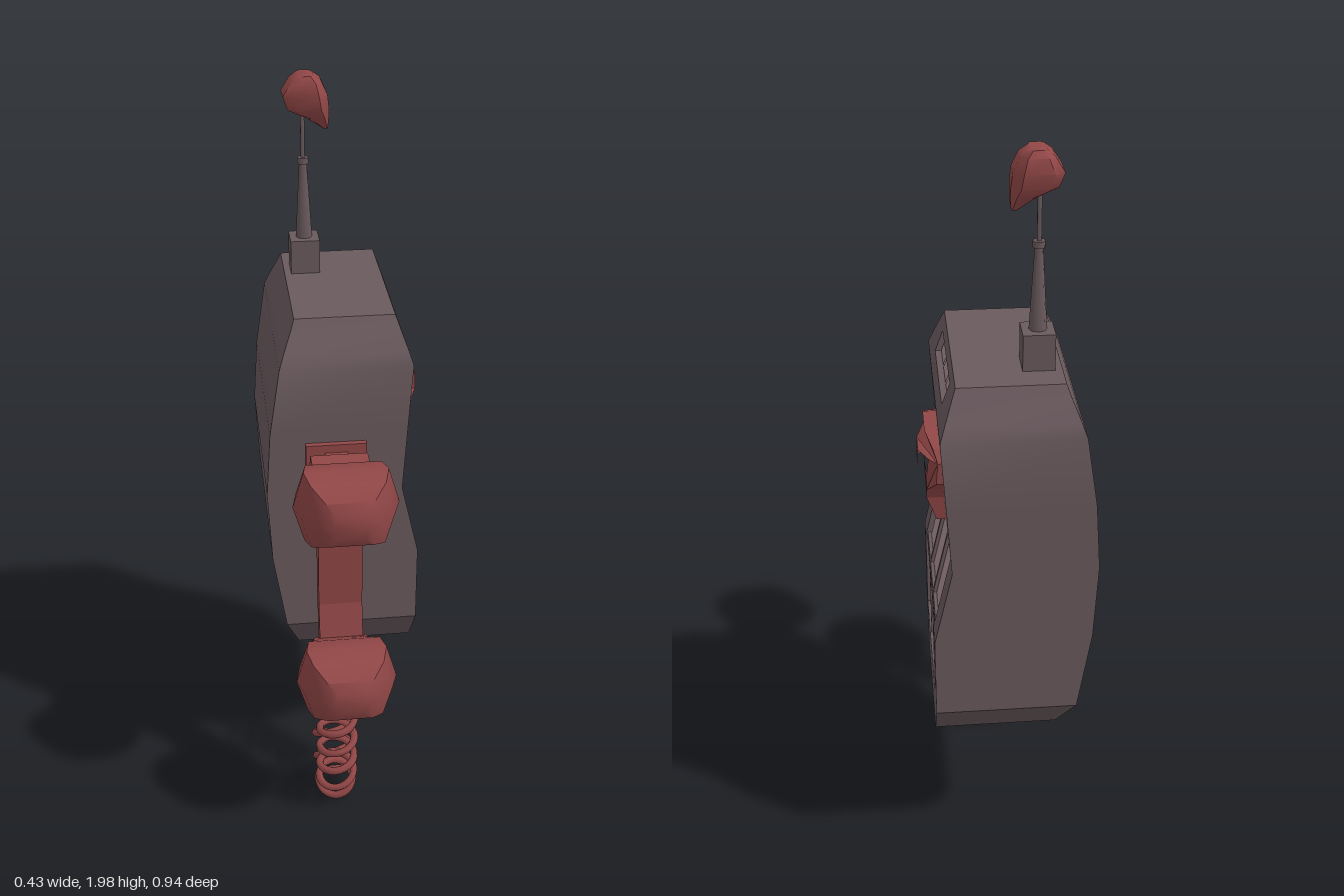
import * as THREE from 'three';
import { toCreasedNormals } from 'three/addons/utils/BufferGeometryUtils.js';

const paint = (name, color) => Object.assign(new THREE.MeshStandardMaterial({ color }), { name });

// Body sections from bottom to top: y, x min, x max, z min, z max
const ROWS = [
  [0.42, -0.135, 0.19, -0.355, 0.0],
  [0.56, -0.175, 0.19, -0.465, 0.105],
  [0.785, -0.21, 0.19, -0.465, 0.105],
  [0.99, -0.22, 0.143, -0.465, 0.105],
  [1.17, -0.208, 0.154, -0.465, 0.105],
  [1.355, -0.18, 0.166, -0.465, 0.105],
  [1.39, -0.167, 0.154, -0.448, 0.086],
  [1.445, -0.144, 0.134, -0.417, 0.054],
  [1.47, -0.135, 0.125, -0.405, 0.04],
];
// Recesses in the face, by the index of the band they fill: z high, z low
const KEYPAD = [0.035, -0.392], SCREEN = [-0.03, -0.328];
const HOLES = { 1: KEYPAD, 2: KEYPAD, 6: SCREEN };
const DEPTH = 0.03;

// x of the sculpted face at height y
function faceX(y) {
  const i = Math.min(Math.max(ROWS.findIndex((r) => r[0] >= y), 1), ROWS.length - 1);
  const a = ROWS[i - 1], b = ROWS[i];
  return a[2] + ((b[2] - a[2]) * (y - a[0])) / (b[0] - a[0]);
}

function fromTriangles(pos, crease) {
  const g = new THREE.BufferGeometry();
  g.setAttribute('position', new THREE.Float32BufferAttribute(pos, 3));
  g.computeVertexNormals();
  return toCreasedNormals(g, crease);
}

function bodyGeometry() {
  const pos = [];
  const quad = (a, b, c, d) => pos.push(...a, ...b, ...c, ...a, ...c, ...d);
  for (let i = 0; i < ROWS.length - 1; i++) {
    const [y, a, b, m, n] = ROWS[i], [Y, A, B, M, N] = ROWS[i + 1];
    quad([a, y, n], [b, y, n], [B, Y, N], [A, Y, N]);
    quad([b, y, m], [a, y, m], [A, Y, M], [B, Y, M]);
    quad([a, y, m], [a, y, n], [A, Y, N], [A, Y, M]);
    const face = (z, Z, w, W, d) => quad([b - d, y, z], [b - d, y, w], [B - d, Y, W], [B - d, Y, Z]);
    const hole = HOLES[i];
    if (!hole) { face(n, N, m, M, 0); continue; }
    const [h, l] = hole, d = DEPTH;
    face(n, N, h, h, 0);
    face(l, l, m, M, 0);
    face(h, h, l, l, d);
    // recess walls
    quad([b, y, h], [b - d, y, h], [B - d, Y, h], [B, Y, h]);
    quad([b - d, y, l], [b, y, l], [B, Y, l], [B - d, Y, l]);
    if (HOLES[i - 1] !== hole) quad([b - d, y, h], [b, y, h], [b, y, l], [b - d, y, l]);
    if (HOLES[i + 1] !== hole) quad([B - d, Y, l], [B, Y, l], [B, Y, h], [B - d, Y, h]);
  }
  const [y, a, b, m, n] = ROWS[0], [Y, A, B, M, N] = ROWS[ROWS.length - 1];
  quad([a, y, m], [b, y, m], [b, y, n], [a, y, n]);
  quad([A, Y, N], [B, Y, N], [B, Y, M], [A, Y, M]);
  return fromTriangles(pos, 0.5);
}

// Skin over rings of [x, y, z], counter-clockwise about the direction of travel
function loft(rings, crease) {
  const pos = [], n = rings[0].length, last = rings[rings.length - 1];
  for (let i = 0; i < rings.length - 1; i++)
    for (let j = 0; j < n; j++) {
      const k = (j + 1) % n, r = rings[i], s = rings[i + 1];
      pos.push(...r[j], ...r[k], ...s[k], ...r[j], ...s[k], ...s[j]);
    }
  for (let j = 1; j < n - 1; j++) {
    pos.push(...rings[0][0], ...rings[0][j + 1], ...rings[0][j]);
    pos.push(...last[0], ...last[j], ...last[j + 1]);
  }
  return fromTriangles(pos, crease);
}

// Side outline of [z, y] points, extruded across x
function sideExtrude(points, width, cx) {
  const shape = new THREE.Shape(points.map(([z, y]) => new THREE.Vector2(-z, y)));
  const g = new THREE.ExtrudeGeometry(shape, { depth: width, bevelEnabled: false });
  return g.rotateY(Math.PI / 2).translate(cx - width / 2, 0, 0);
}

export function createModel() {
  const root = new THREE.Group();
  root.name = 'telephone';
  const grey = paint('casing grey', 0x6a5a5e);
  const red = paint('dull red', 0x924747);
  const pink = paint('key pink', 0xa98d91);
  const add = (name, geo, mat, x = 0, y = 0, z = 0) => {
    const m = new THREE.Mesh(geo, mat);
    m.name = name;
    m.position.set(x, y, z);
    root.add(m);
    return m;
  };

  add('body', bodyGeometry(), grey);

  // Keys and bars that follow the slope of the face, sunk by a given amount
  const inlay = (name, mat, y0, y1, z0, z1, sink) => {
    const t = DEPTH - sink;
    const g = new THREE.BoxGeometry(t, y1 - y0, z1 - z0);
    g.translate(-sink - t / 2, (y0 + y1) / 2, (z0 + z1) / 2);
    const p = g.attributes.position;
    for (let i = 0; i < p.count; i++) p.setX(i, p.getX(i) + faceX(p.getY(i)));
    g.computeVertexNormals();
    add(name, g, mat);
  };
  for (let c = 0; c < 3; c++) {
    const z = -0.038 - c * 0.141;
    inlay('lowerKey', pink, 0.572, 0.765, z - 0.058, z + 0.058, 0.012);
    inlay('upperKey', pink, 0.8, 0.975, z - 0.058, z + 0.058, 0.012);
    const w = -0.08 - c * 0.099;
    inlay('screenCell', pink, 1.394, 1.441, w - 0.043, w + 0.043, 0.014);
    if (c < 2) {
      inlay('keypadBar', grey, 0.56, 0.785, z - 0.0775, z - 0.0635, 0.004);
      inlay('keypadBar', grey, 0.785, 0.99, z - 0.0775, z - 0.0635, 0.004);
    }
  }
  inlay('keypadCrossbar', grey, 0.774, 0.785, -0.392, 0.035, 0.004);
  inlay('keypadCrossbar', grey, 0.785, 0.796, -0.392, 0.035, 0.004);

  // Skull emblem: flat outline with eye holes, front swelled towards the middle
  const half = [[0.05, 1.27], [0.105, 1.245], [0.128, 1.215], [0.125, 1.155], [0.08, 1.115], [0.062, 1.08], [0.055, 1.01]];
  const eye = [[0.035, 1.205], [0.095, 1.212], [0.088, 1.152], [0.035, 1.157]];
  const sx = 0.182;
  const mirrored = (pts, s) => pts.map(([u, v]) => new THREE.Vector2(sx + s * u, v));
  const skull = new THREE.Shape([...mirrored(half, 1), ...mirrored(half, -1).reverse()]);
  for (const s of [1, -1]) skull.holes.push(new THREE.Path(mirrored(eye, s)));
  const sg = new THREE.ExtrudeGeometry(skull, { depth: 1, bevelEnabled: false }).rotateY(Math.PI / 2);
  const sp = sg.attributes.position;
  for (let i = 0; i < sp.count; i++) {
    const u = (sp.getZ(i) + sx) / 0.13, v = (sp.getY(i) - 1.17) / 0.18;
    sp.setX(i, sp.getX(i) < 0.5 ? 0.135 : 0.167 + 0.05 * (1 - u * u - v * v));
  }
  sg.computeVertexNormals();
  add('skullEmblem', sg, red);

  // Antenna
  const ax = -0.078, az = -0.292;
  add('antennaBase', new THREE.BoxGeometry(0.078, 0.1, 0.08), grey, ax, 1.512, az);
  add('antennaTaper', new THREE.CylinderGeometry(0.01, 0.022, 0.21, 8), grey, ax, 1.665, az);
  add('antennaCollar', new THREE.CylinderGeometry(0.015, 0.015, 0.016, 8), grey, ax, 1.773, az);
  add('antennaRod', new THREE.CylinderGeometry(0.006, 0.006, 0.16, 6), grey, ax, 1.85, az);
  // Topper sections: y, x min, x max, half depth
  const topper = [
    [1.86, -0.026, -0.012, 0.018], [1.89, -0.068, -0.01, 0.032], [1.915, -0.118, -0.01, 0.044],
    [1.95, -0.13, -0.014, 0.05], [1.985, -0.108, -0.03, 0.046], [2.0, -0.09, -0.05, 0.034],
  ].map(([y, x0, x1, d]) =>
    [[1, 0.5], [0.6, 1], [-0.6, 1], [-1, 0.7], [-1, -0.7], [-0.6, -1], [0.6, -1], [1, -0.5]].map(([u, v]) =>
      [(x0 + x1) / 2 + (u * (x1 - x0)) / 2, y, az - v * d]));
  add('antennaTopper', loft(topper, 0.7), red);

  // Handset: two swollen cups on a bowed grip
  const hx = -0.036;
  const cup = [
    [0.215, 0.075, 0.04], [0.235, 0.085, 0.05], [0.285, 0.122, 0.084], [0.345, 0.134, 0.098],
    [0.395, 0.117, 0.088], [0.44, 0.075, 0.062], [0.458, 0.045, 0.036],
  ].map(([z, w, h]) =>
    [[1, 0], [0.79, 1], [-0.79, 1], [-1, 0], [-0.79, -1], [0.79, -1]].map(([u, v]) => [u * w, v * h, z]));
  const cupGeo = loft(cup, 0.9);
  add('earCup', cupGeo, red, hx, 1.098, -0.004);
  add('mouthCup', cupGeo, red, hx, 0.56, 0.013);
  add('handsetGrip', sideExtrude([
    [0.225, 1.15], [0.185, 1.15], [0.18, 1.05], [0.185, 1.0], [0.165, 0.89], [0.163, 0.72],
    [0.222, 0.47], [0.262, 0.485], [0.212, 0.7], [0.212, 0.89], [0.23, 1.02],
  ], 0.118, hx), red);
  add('earNeck', sideExtrude([[0.24, 1.15], [0.182, 1.15], [0.155, 1.11], [0.155, 1.09], [0.182, 1.05], [0.24, 1.05]], 0.148, hx), red);
  add('mouthNeck', sideExtrude([[0.26, 0.6], [0.2, 0.58], [0.225, 0.475], [0.268, 0.485]], 0.148, hx), red);

  // Cradle hook
  add('cradlePlate', new THREE.BoxGeometry(0.16, 0.09, 0.018), red, hx, 1.098, 0.112);
  add('cradleStem', new THREE.BoxGeometry(0.06, 0.044, 0.06), red, hx, 1.098, 0.142);

  // Coiled cord: a helix wound around a hanging loop
  const path = new THREE.CatmullRomCurve3([
    [0.24, 0.48], [0.265, 0.4], [0.268, 0.25], [0.25, 0.13], [0.2, 0.064],
    [0.145, 0.12], [0.09, 0.25], [0.052, 0.38], [0.03, 0.46],
  ].map(([z, y]) => new THREE.Vector3(-0.053, y, z)));
  const turns = 13, steps = turns * 12, coil = [];
  for (let i = 0; i <= steps; i++) {
    const t = i / steps, a = t * turns * Math.PI * 2 + Math.PI / 2;
    const tan = path.getTangentAt(t);
    const r = 0.049 * Math.min(1, t * 25, (1 - t) * 25);
    const side = new THREE.Vector3(0, -tan.z, tan.y);
    coil.push(path.getPointAt(t).addScaledVector(side, Math.cos(a) * r).add(new THREE.Vector3(Math.sin(a) * r, 0, 0)));
  }
  add('coiledCord', new THREE.TubeGeometry(new THREE.CatmullRomCurve3(coil), steps * 2, 0.011, 6), red);

  return root;
}
